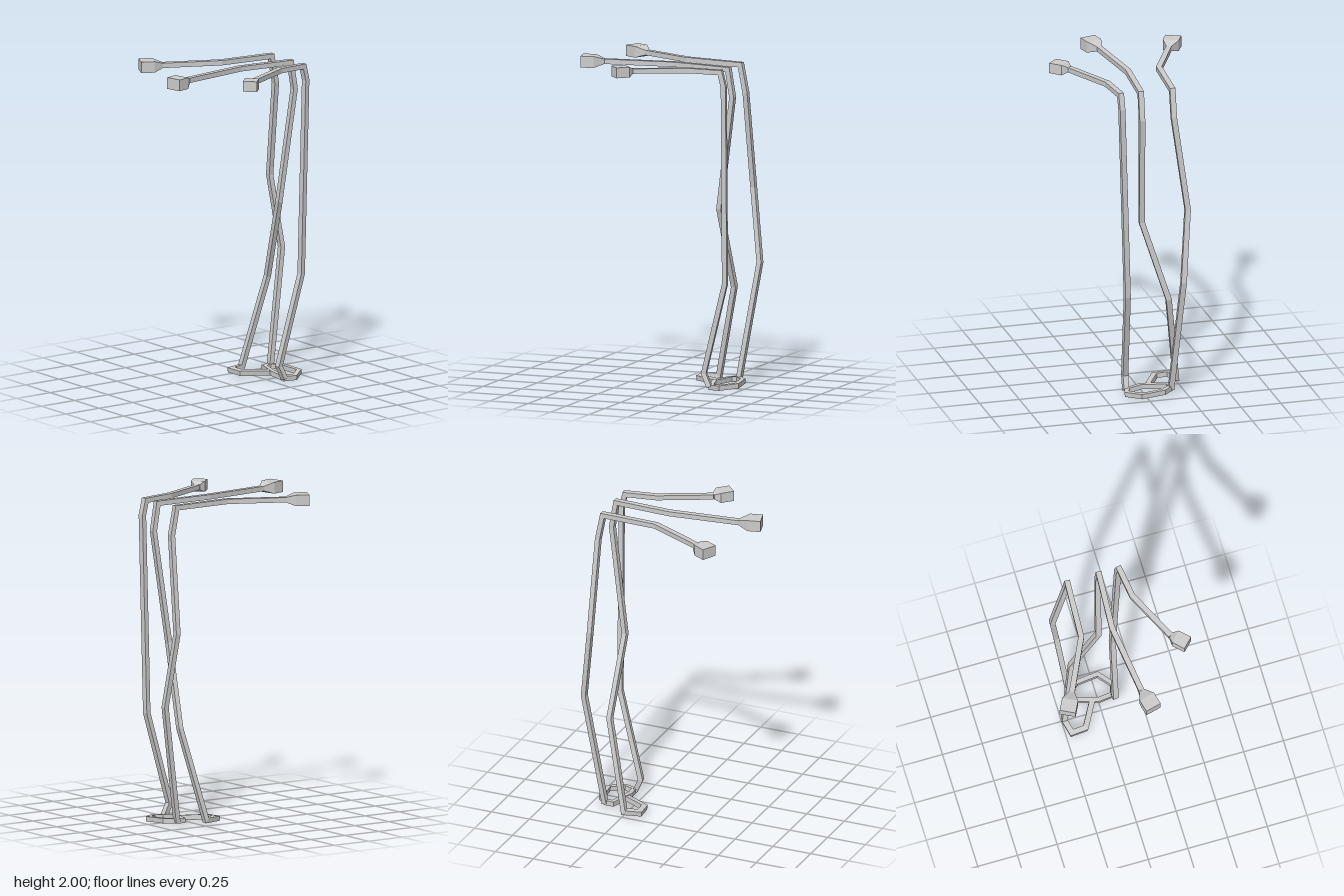
import * as THREE from 'three';

const V = (p) => new THREE.Vector3(...p);
const UP = new THREE.Vector3(0, 1, 0);
const material = new THREE.MeshStandardMaterial({ color: 0xcccccc, flatShading: true });

// Four corner offsets of a rectangle facing along d (half width w, half height h)
function rectangle(d, w, h) {
  const side = new THREE.Vector3().crossVectors(UP, d).normalize();
  const top = new THREE.Vector3().crossVectors(d, side).normalize();
  return [[1, 1], [-1, 1], [-1, -1], [1, -1]].map(([a, b]) =>
    side.clone().multiplyScalar(a * w).addScaledVector(top, b * h));
}

// Skin a list of four-cornered sections
function loft(name, sections, closed = false) {
  const n = sections.length;
  const position = sections.flat().flatMap((p) => p.toArray());
  const index = [];
  for (let i = 0; i < (closed ? n : n - 1); i++) {
    const a = i * 4, b = ((i + 1) % n) * 4;
    for (let k = 0; k < 4; k++) {
      const m = (k + 1) % 4;
      index.push(a + k, a + m, b + m, a + k, b + m, b + k);
    }
  }
  if (!closed) {
    const e = (n - 1) * 4;
    index.push(0, 2, 1, 0, 3, 2, e, e + 1, e + 2, e, e + 2, e + 3);
  }
  const indexed = new THREE.BufferGeometry();
  indexed.setAttribute('position', new THREE.Float32BufferAttribute(position, 3));
  indexed.setIndex(index);
  const geometry = indexed.toNonIndexed();
  geometry.computeVertexNormals();
  const mesh = new THREE.Mesh(geometry, material);
  mesh.name = name;
  return mesh;
}

// Square bar along a path, mitred at every bend
function bar(name, path, w = 0.017, h = 0.015, closed = false) {
  const pts = path.map(V), n = pts.length;
  const dir = pts.map((p, i) => pts[(i + 1) % n].clone().sub(p).normalize());
  let corners = rectangle(dir[0], w, h);
  const sections = pts.map((p, i) => {
    const before = i > 0 ? dir[i - 1] : closed ? dir[n - 1] : dir[0];
    const after = closed || i < n - 1 ? dir[i] : before;
    const plane = before.clone().add(after).normalize();
    const along = i > 0 ? before : after;
    corners = corners.map((c) =>
      c.clone().addScaledVector(along, -c.dot(plane) / along.dot(plane)));
    return corners.map((c) => c.clone().add(p));
  });
  return loft(name, sections, closed);
}

// Box head that narrows into the arm
function head(name, neck, start, end, w, h) {
  const [a, b, c] = [neck, start, end].map(V);
  const d = c.clone().sub(b).normalize();
  const d0 = b.clone().sub(a).normalize();
  const place = (p, dd, ww, hh) => rectangle(dd, ww, hh).map((q) => q.add(p));
  return loft(name, [place(a, d0, 0.017, 0.015), place(b, d, w, h), place(c, d, w, h)]);
}

export function createModel() {
  const model = new THREE.Group();

  // Stems, each listed from the head end down to the foot
  const stems = [
    {
      name: 'right',
      path: [[-0.34, 1.965, 0.275], [-0.185, 1.965, -0.05], [-0.165, 1.958, -0.41],
        [-0.165, 1.79, -0.443], [-0.247, 1.2, -0.46], [-0.205, 0.75, -0.518], [-0.16, 0.03, -0.4]],
      head: [[-0.366, 1.965, 0.325], [-0.403, 1.965, 0.398], 0.049, 0.034],
    },
    {
      // The middle stem runs on into the small front loop of the foot
      name: 'middle',
      path: [[0.066, 1.965, 0.385], [0.01, 1.965, -0.05], [0.033, 1.958, -0.41],
        [0.033, 1.79, -0.438], [0.008, 1.1, -0.343], [-0.152, 0.6, -0.373], [-0.236, 0.036, -0.24],
        [-0.214, 0.036, -0.148], [-0.126, 0.034, -0.156], [-0.038, 0.03, -0.315]],
      head: [[0.083, 1.965, 0.442], [0.102, 1.965, 0.519], 0.05, 0.035],
    },
    {
      name: 'left',
      path: [[0.336, 1.963, 0.095], [0.186, 1.963, -0.215], [0.16, 1.958, -0.41],
        [0.158, 1.87, -0.432], [0.122, 0.66, -0.425], [0.096, 0.1, -0.277], [0.1, 0.018, -0.315]],
      head: [[0.359, 1.963, 0.118], [0.419, 1.963, 0.178], 0.043, 0.032],
    },
  ];
  for (const s of stems) {
    const group = new THREE.Group();
    group.name = s.name + 'Lamp';
    group.add(bar(s.name + 'Stem', s.path));
    group.add(head(s.name + 'Head', s.path[0], ...s.head));
    model.add(group);
  }

  // Foot ring joining the stems
  model.add(bar('footRing', [[-0.155, 0.034, -0.352], [0, 0.032, -0.307], [0.092, 0.018, -0.322],
    [0.112, 0.02, -0.385], [0.04, 0.028, -0.468], [-0.1, 0.034, -0.45], [-0.157, 0.036, -0.398]],
  0.014, 0.015, true));

  return model;
}
